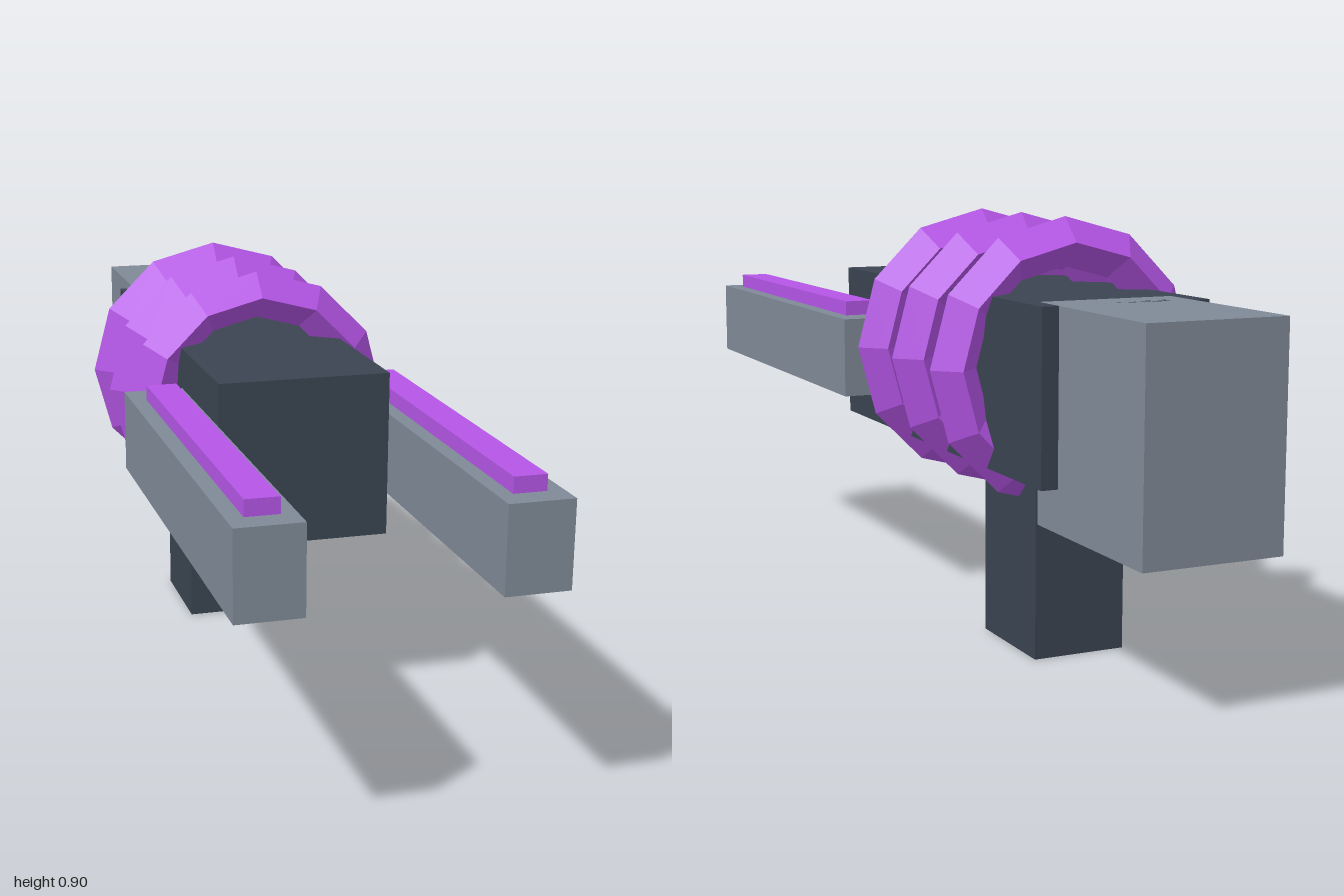
import * as THREE from 'three';

const material = (color) => new THREE.MeshStandardMaterial({ color, flatShading: true });

export function createModel() {
  const model = new THREE.Group();
  model.name = 'railBlaster';
  const dark = material(0x3a4450);
  const grey = material(0x7f8997);
  const purple = material(0xb455e6);

  // Box given by its [min, max] range on each axis
  const addBox = (name, mat, [x0, x1], [y0, y1], [z0, z1]) => {
    const mesh = new THREE.Mesh(new THREE.BoxGeometry(x1 - x0, y1 - y0, z1 - z0), mat);
    mesh.position.set((x0 + x1) / 2, (y0 + y1) / 2, (z0 + z1) / 2);
    mesh.name = name;
    model.add(mesh);
  };

  // Body, stock and grip
  addBox('body', dark, [-0.183, 0.183], [0.397, 0.749], [-0.675, 0.377]);
  addBox('stock', grey, [-0.147, 0.147], [0.31, 0.749], [-1, -0.588]);
  addBox('grip', dark, [-0.102, 0.102], [0, 0.41], [-0.49, -0.245]);

  // Paired front rails with glowing strips on top
  for (const [side, s] of [['left', 1], ['right', -1]]) {
    const mirror = (a, b) => (s > 0 ? [a, b] : [-b, -a]);
    addBox(side + 'Rail', grey, mirror(0.184, 0.314), [0.486, 0.66], [0.048, 1]);
    addBox(side + 'Strip', purple, mirror(0.215, 0.281), [0.65, 0.692], [0.128, 0.947]);
  }

  // Three twelve-sided coils with a diamond cross-section
  const coil = new THREE.TorusGeometry(0.25, 0.051, 4, 12);
  [-0.003, -0.207, -0.412].forEach((z, i) => {
    const mesh = new THREE.Mesh(coil, purple);
    mesh.position.set(0, 0.602, z);
    mesh.name = 'coil' + (i + 1);
    model.add(mesh);
  });

  return model;
}
